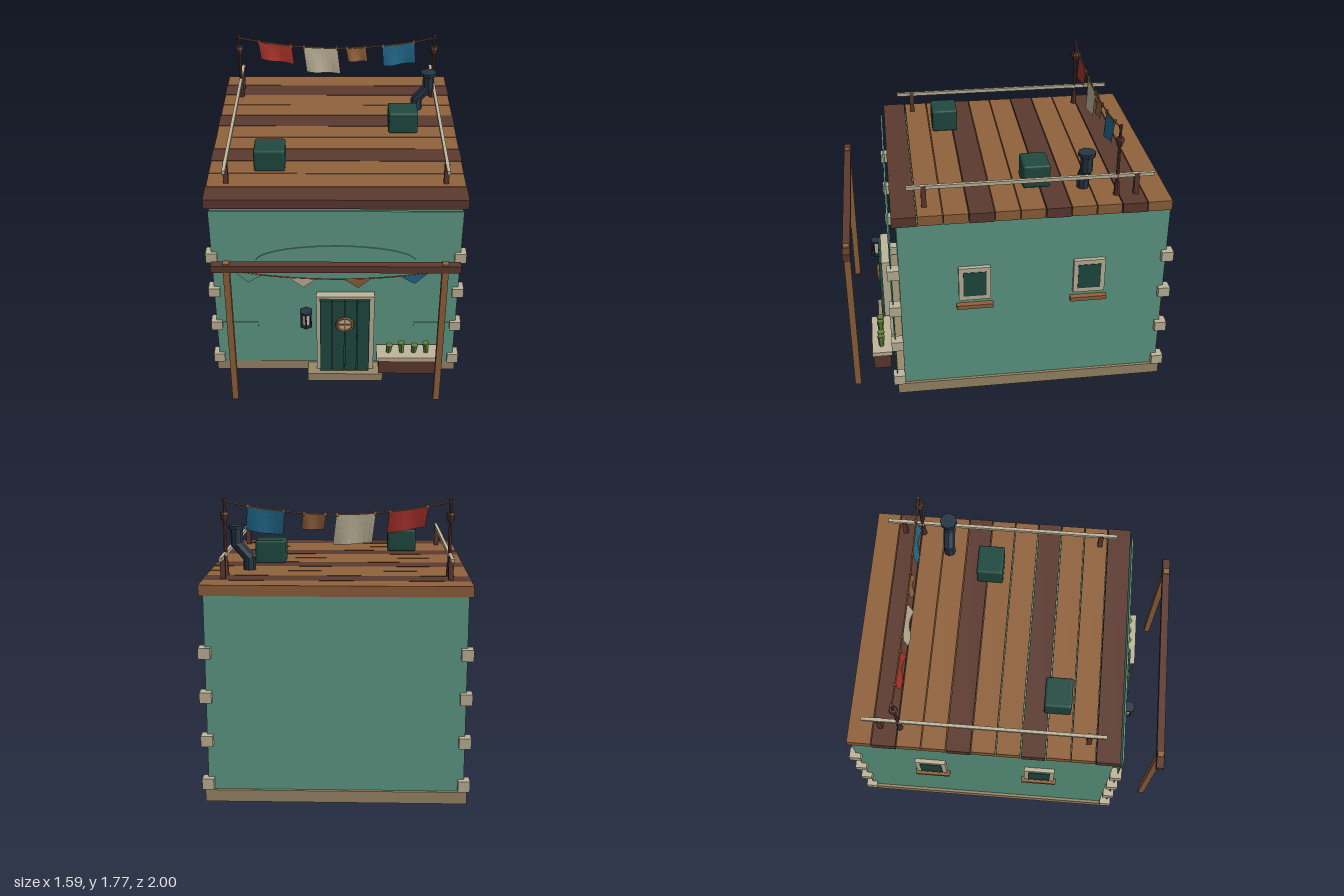
import * as THREE from 'three';
import { RoundedBoxGeometry } from 'three/addons/geometries/RoundedBoxGeometry.js';

const mat = (name, color, side = THREE.FrontSide) => {
  const m = new THREE.MeshStandardMaterial({ color, side });
  m.name = name;
  m.flatShading = true;
  return m;
};

export function createModel() {
  const teal = mat('teal plaster', 0x5f9c86, THREE.DoubleSide);
  const pine = mat('dark green paint', 0x1f4a40);
  const darkWood = mat('dark wood', 0x5c3a30);
  const wood = mat('warm wood', 0x91623c, THREE.DoubleSide);
  const cream = mat('cream stone', 0xbfb59b, THREE.DoubleSide);
  const tan = mat('tan stone', 0x9b8869);
  const iron = mat('blue iron', 0x263644);
  const red = mat('red cloth', 0xaa322b, THREE.DoubleSide);
  const blue = mat('blue cloth', 0x22698c, THREE.DoubleSide);
  const leaf = mat('leaf green', 0x5f8038);

  const model = new THREE.Group();
  model.name = 'house';
  const add = (name, geo, material, x = 0, y = 0, z = 0) => {
    const m = new THREE.Mesh(geo, material);
    m.name = name;
    m.position.set(x, y, z);
    model.add(m);
    return m;
  };
  // Box given by its limits on each axis
  const box = (name, material, x0, x1, y0, y1, z0, z1) =>
    add(name, new THREE.BoxGeometry(x1 - x0, y1 - y0, z1 - z0), material,
      (x0 + x1) / 2, (y0 + y1) / 2, (z0 + z1) / 2);
  const cyl = (name, material, rTop, rBottom, y0, y1, x, z, sides = 8) =>
    add(name, new THREE.CylinderGeometry(rTop, rBottom, y1 - y0, sides), material, x, (y0 + y1) / 2, z);
  const tube = (name, points, radius, material, segments = 24) =>
    add(name, new THREE.TubeGeometry(new THREE.CatmullRomCurve3(points), segments, radius, 6), material);

  // Walls, plinth and step
  box('walls', teal, -0.757, 0.757, 0, 1.25, -0.96, 0.675);
  box('plinth', tan, -0.775, 0.775, 0.002, 0.075, -0.98, 0.72);
  box('doorStep', tan, -0.18, 0.3, 0, 0.06, 0.72, 0.83);

  // Thin front facade with band, side panels and arched panel
  box('facade', teal, -0.757, 0.757, 0.075, 1.25, 0.718, 0.724);
  box('facadeBand', teal, -0.757, 0.757, 1.155, 1.25, 0.724, 0.729);
  for (const s of [-1, 1]) {
    const panel = box('facadePanel', teal, -0.115, 0.115, 0.32, 0.405, 0.724, 0.729);
    panel.position.x = s * 0.607;
  }
  const arch = new THREE.Shape();
  arch.moveTo(-0.49, 0.08);
  arch.lineTo(0.49, 0.08);
  arch.lineTo(0.49, 0.885);
  arch.absellipse(0, 0.885, 0.49, 0.115, 0, Math.PI, false);
  arch.lineTo(-0.49, 0.08);
  add('archPanel', new THREE.ExtrudeGeometry(arch, { depth: 0.006, bevelEnabled: false, curveSegments: 16 }),
    teal, 0, 0, 0.724);

  // Corner stones
  for (const x of [-0.755, 0.755]) for (const z of [0.709, -0.963]) for (const y of [0.117, 0.386, 0.653, 0.918])
    add('cornerStone', new THREE.BoxGeometry(0.07, 0.066, 0.073), cream, x, y, z);

  // Roof planks
  for (let i = 0; i < 11; i++) {
    const z = 0.703 - i * 0.1517;
    const dark = i % 3 === 0;
    const half = dark ? 0.787 : 0.783;
    box('roofPlank', dark ? darkWood : wood, -half, half, 1.25, 1.313, z - 0.146, z);
  }

  // Roof rails
  for (const x of [-0.665, 0.665]) {
    box('roofRail', cream, x - 0.01, x + 0.01, 1.43, 1.452, -0.866, 0.606);
    for (const z of [0.505, -0.763])
      box('railPost', darkWood, x - 0.015, x + 0.015, 1.31, 1.45, z - 0.015, z + 0.015);
  }

  // Roof crates
  for (const [x, z] of [[-0.41, 0.302], [0.436, -0.185]])
    add('roofCrate', new RoundedBoxGeometry(0.192, 0.147, 0.167, 2, 0.014), pine, x, 1.386, z);

  // Bent chimney pipe
  const pz = -0.465;
  cyl('pipeFoot', iron, 0.038, 0.038, 1.31, 1.39, 0.545, pz);
  const bend = cyl('pipeBend', iron, 0.037, 0.037, 1.365, 1.495, 0.582, pz);
  bend.rotation.z = -0.72;
  cyl('pipeTop', iron, 0.038, 0.038, 1.46, 1.57, 0.62, pz);
  cyl('pipeCap', iron, 0.054, 0.054, 1.562, 1.585, 0.62, pz);

  // Clothesline poles
  const lz = -0.645;
  for (const x of [-0.665, 0.665]) {
    cyl('linePole', darkWood, 0.008, 0.012, 1.31, 1.76, x, lz);
    cyl('poleFoot', darkWood, 0.014, 0.02, 1.31, 1.4, x, lz);
    cyl('poleCup', darkWood, 0.028, 0.016, 1.635, 1.675, x, lz);
    cyl('poleCupRim', darkWood, 0.022, 0.028, 1.675, 1.69, x, lz);
    cyl('poleKnob', darkWood, 0.012, 0.012, 1.75, 1.77, x, lz);
  }
  const lineY = x => 1.677 + 0.075 * (x / 0.665) ** 2;
  const sag = (half, fn, z) => Array.from({ length: 9 }, (_, i) => {
    const x = half * (i / 4 - 1);
    return new THREE.Vector3(x, fn(x), z);
  });
  tube('clothesLine', sag(0.665, lineY, lz), 0.005, wood);

  // Hanging cloths, swaying sideways and rippling in depth
  const cloth = (name, material, x0, x1, dropL, dropR, sway) => {
    const g = new THREE.PlaneGeometry(1, 1, 8, 4);
    const p = g.attributes.position;
    for (let i = 0; i < p.count; i++) {
      const u = p.getX(i) + 0.5, v = 0.5 - p.getY(i);
      const x = x0 + u * (x1 - x0);
      p.setXYZ(i, x + sway * v, lineY(x) - v * (dropL + (dropR - dropL) * u),
        lz + v * 0.014 + 0.01 * v * Math.sin(u * 7));
    }
    g.computeVertexNormals();
    add(name, g, material);
    for (const x of [x0 + 0.005, x1 - 0.005])
      add('clothesPeg', new THREE.BoxGeometry(0.013, 0.026, 0.016), wood, x, lineY(x), lz);
  };
  cloth('redCloth', red, -0.535, -0.308, 0.122, 0.128, 0.017);
  cloth('creamCloth', cream, -0.228, 0.005, 0.178, 0.182, 0.022);
  cloth('brownCloth', wood, 0.065, 0.2, 0.093, 0.098, 0.014);
  cloth('blueCloth', blue, 0.31, 0.53, 0.143, 0.146, 0.012);

  // Side windows with sills
  const frameShape = new THREE.Shape([[-0.0975, -0.115], [0.0975, -0.115], [0.0975, 0.115], [-0.0975, 0.115]]
    .map(([a, b]) => new THREE.Vector2(a, b)));
  frameShape.holes.push(new THREE.Path([[-0.07, -0.085], [-0.07, 0.085], [0.07, 0.085], [0.07, -0.085]]
    .map(([a, b]) => new THREE.Vector2(a, b))));
  const frameGeo = new THREE.ExtrudeGeometry(frameShape, { depth: 0.029, bevelEnabled: false });
  for (const s of [-1, 1]) for (const z of [0.222, -0.482]) {
    const frame = add('windowFrame', frameGeo, cream, s * 0.754, 0.815, z);
    frame.rotation.y = s * Math.PI / 2;
    add('windowPane', new THREE.BoxGeometry(0.03, 0.17, 0.14), pine, s * 0.771, 0.815, z);
    add('windowSill', new THREE.BoxGeometry(0.04, 0.027, 0.226), wood, s * 0.773, 0.652, z);
  }

  // Door: frame, boards and round window
  box('doorFrameTop', cream, -0.122, 0.24, 0.635, 0.652, 0.73, 0.782);
  box('doorFrameLeft', cream, 0.212, 0.24, 0.06, 0.635, 0.73, 0.782);
  box('doorFrameRight', cream, -0.122, -0.1, 0.06, 0.635, 0.73, 0.782);
  box('doorBack', pine, -0.1, 0.212, 0.06, 0.635, 0.73, 0.788);
  for (let i = 0; i < 4; i++)
    box('doorBoard', pine, -0.099 + i * 0.078, -0.025 + i * 0.078, 0.06, 0.637, 0.788, 0.8);
  const pane = cyl('doorWindow', cream, 0.05, 0.05, 0.445, 0.465, 0.056, 0.8, 20);
  pane.rotation.x = Math.PI / 2;
  add('doorWindowRing', new THREE.TorusGeometry(0.05, 0.009, 6, 24), wood, 0.056, 0.455, 0.81);
  box('doorWindowBar', wood, 0.051, 0.061, 0.405, 0.505, 0.805, 0.816);
  box('doorWindowBar', wood, 0.006, 0.106, 0.45, 0.46, 0.805, 0.816);

  // Wall lantern
  const lx = -0.185, lanternZ = 0.812;
  cyl('lanternGlass', cream, 0.025, 0.025, 0.46, 0.56, lx, lanternZ, 6);
  cyl('lanternTop', iron, 0.042, 0.042, 0.554, 0.568, lx, lanternZ, 6);
  cyl('lanternBottom', iron, 0.042, 0.042, 0.452, 0.466, lx, lanternZ, 6);
  for (let i = 0; i < 6; i++) {
    const a = i * Math.PI / 3 + Math.PI / 6;
    cyl('lanternBar', iron, 0.005, 0.005, 0.46, 0.56, lx + 0.033 * Math.cos(a), lanternZ + 0.033 * Math.sin(a), 5);
  }
  box('lanternBracket', iron, lx - 0.008, lx + 0.008, 0.5, 0.52, 0.73, 0.79);

  // Planter with stubby plants
  box('planterBox', darkWood, 0.27, 0.63, 0.1, 0.208, 0.755, 0.867);
  box('planterRim', cream, 0.257, 0.645, 0.207, 0.236, 0.745, 0.872);
  [0.335, 0.415, 0.495, 0.57].forEach((x, i) => {
    const plant = cyl('plant', leaf, 0.024, 0.014, 0.23, i % 2 ? 0.312 : 0.292, x, 0.812, 6);
    plant.rotation.z = i % 2 ? 0.06 : -0.1;
  });

  // Porch posts and beam
  for (const x of [-0.635, 0.635])
    box('porchPost', wood, x - 0.019, x + 0.019, 0, 1.06, 0.957, 0.997);
  box('porchBeam', darkWood, -0.725, 0.725, 1.003, 1.05, 0.953, 1);

  // Bunting under the beam
  const buntY = x => 0.938 + 0.062 * (x / 0.62) ** 2;
  tube('buntingRope', sag(0.62, buntY, 0.972), 0.004, wood);
  [[-0.515, teal], [-0.195, cream], [0.128, wood], [0.458, blue]].forEach(([x, material]) => {
    const a = x - 0.084, b = x + 0.084;
    const flag = new THREE.Shape([[a, buntY(a)], [x + 0.004, buntY(x) - 0.068], [b, buntY(b)]]
      .map(([u, v]) => new THREE.Vector2(u, v)));
    add('buntingFlag', new THREE.ShapeGeometry(flag), material, 0, 0, 0.972);
  });

  return model;
}
